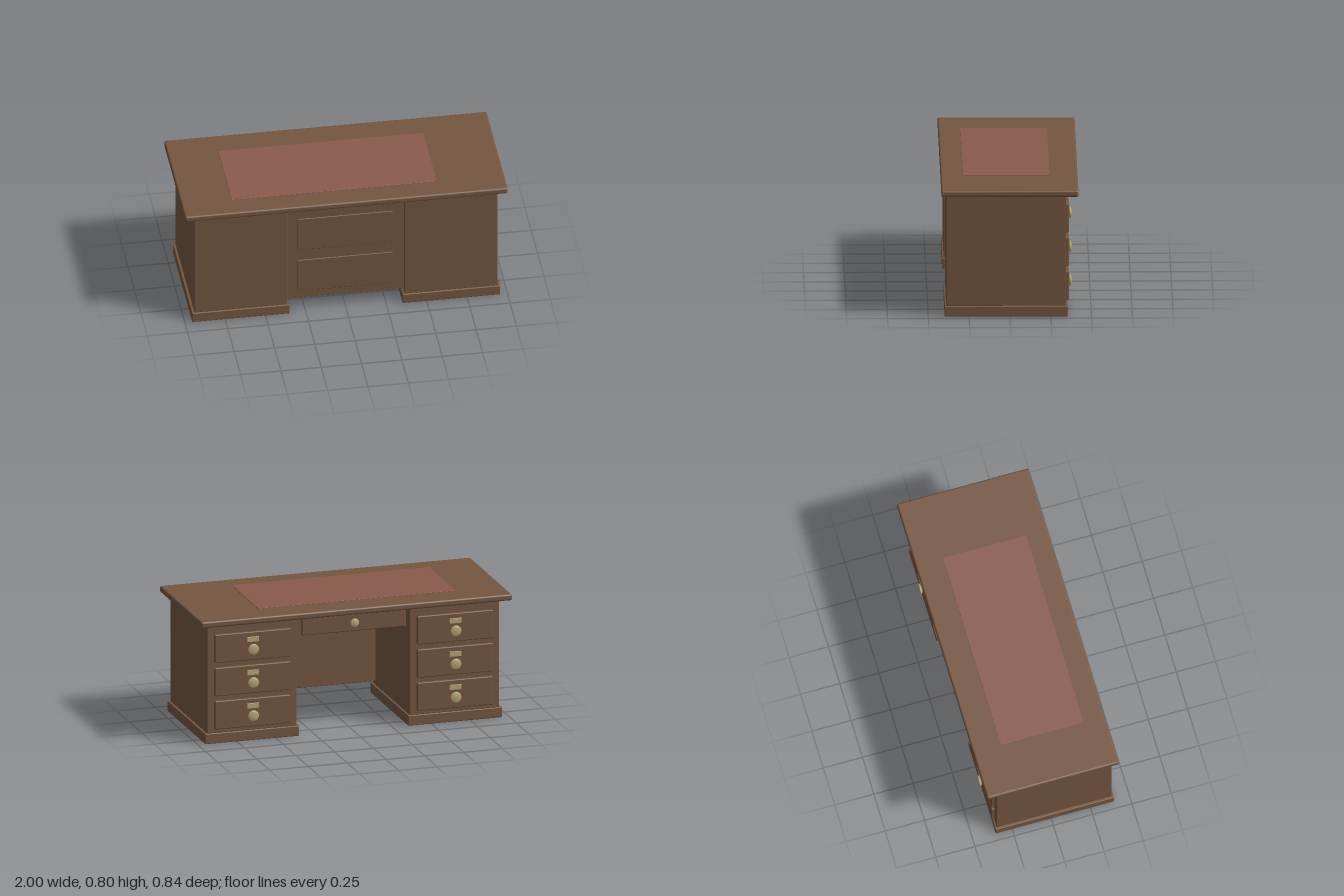
import * as THREE from 'three';
import { RoundedBoxGeometry } from 'three/addons/geometries/RoundedBoxGeometry.js';

const wood = new THREE.MeshStandardMaterial({ color: 0x755640 });
const leather = new THREE.MeshStandardMaterial({ color: 0x8a5a4c });
const brass = new THREE.MeshStandardMaterial({ color: 0xb8a578 });

// Softly rounded box given by its limits on each axis
function block(name, [x0, x1], [y0, y1], [z0, z1], radius = 0.005, material = wood) {
  const geometry = new RoundedBoxGeometry(x1 - x0, y1 - y0, z1 - z0, 3, radius);
  const mesh = new THREE.Mesh(geometry, material);
  mesh.position.set((x0 + x1) / 2, (y0 + y1) / 2, (z0 + z1) / 2);
  mesh.name = name;
  return mesh;
}

// Round domed knob pointing to -z, with its foot on the drawer face
function knob(x, y, z, r) {
  const profile = [[0, 0], [0.8, 0], [0.84, 0.003], [0.97, 0.007], [1, 0.011],
    [0.95, 0.0145], [0.75, 0.017], [0.4, 0.0192], [0, 0.02]]
    .map(([k, h]) => new THREE.Vector2(k * r, h));
  const mesh = new THREE.Mesh(new THREE.LatheGeometry(profile, 32), brass);
  mesh.rotation.x = -Math.PI / 2;
  mesh.position.set(x, y, z);
  mesh.name = 'knob';
  return mesh;
}

// Drawer front with a knob, and optionally a small plate above it
function drawer(name, cx, width, y0, y1, knobY, knobRadius, plate) {
  const group = new THREE.Group();
  group.name = name;
  const face = -0.363;
  group.add(block('drawerFront', [cx - width / 2, cx + width / 2], [y0, y1], [face, -0.34], 0.006));
  group.add(knob(cx, knobY, face, knobRadius));
  if (plate) {
    group.add(block('labelPlate', [cx - 0.038, cx + 0.038],
      [knobY + 0.047, knobY + 0.08], [face - 0.005, face + 0.003], 0.002, brass));
  }
  return group;
}

// Drawer pedestal on a plinth, side = 1 or -1
function pedestal(side) {
  const group = new THREE.Group();
  group.name = side > 0 ? 'leftPedestal' : 'rightPedestal';
  const span = (a, b) => (side > 0 ? [a, b] : [-b, -a]);
  group.add(block('plinth', span(0.35, 0.955), [0, 0.065], [-0.355, 0.4]));
  group.add(block('cabinet', span(0.363, 0.94), [0.063, 0.763], [-0.345, 0.39]));
  for (let i = 0; i < 3; i++) {
    const y = 0.09 + i * 0.212;
    group.add(drawer('pedestalDrawer', side * 0.651, 0.487, y, y + 0.18, y + 0.07, 0.035, true));
  }
  return group;
}

export function createModel() {
  const desk = new THREE.Group();
  desk.name = 'desk';

  // Top with leather writing surface
  desk.add(block('deskTop', [-1, 1], [0.76, 0.8], [-0.42, 0.42], 0.012));
  desk.add(block('leatherInlay', [-0.69, 0.58], [0.795, 0.804], [-0.247, 0.283], 0.001, leather));

  desk.add(pedestal(1), pedestal(-1));

  // Shallow drawer above the knee space
  desk.add(drawer('centreDrawer', 0, 0.67, 0.64, 0.75, 0.695, 0.028, false));

  // Panel closing the front, with two raised fields
  const front = new THREE.Group();
  front.name = 'modestyPanel';
  front.add(block('panelBoard', [-0.366, 0.366], [0.088, 0.742], [0.343, 0.366], 0.004));
  for (const y of [0.14, 0.445]) {
    front.add(block('raisedField', [-0.297, 0.293], [y, y + 0.23], [0.355, 0.372], 0.004));
  }
  desk.add(front);

  return desk;
}
